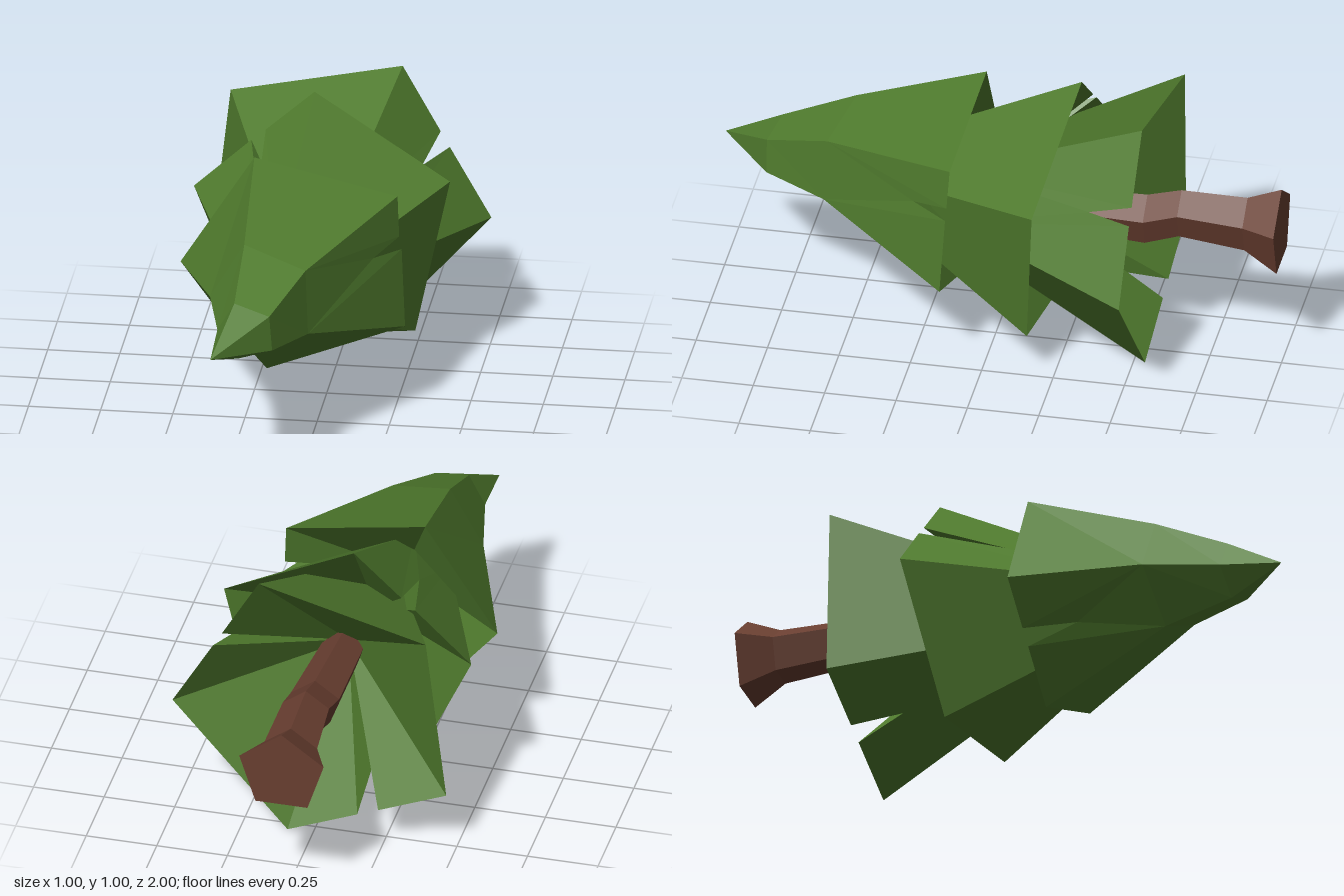
import * as THREE from 'three';

const green = new THREE.MeshStandardMaterial({ color: 0x4f7a2d, flatShading: true, side: THREE.DoubleSide });
green.name = 'needleGreen';
const brown = new THREE.MeshStandardMaterial({ color: 0x683e30, flatShading: true, side: THREE.DoubleSide });
brown.name = 'barkBrown';

// Closed faceted shell: rings run from the rim (clockwise seen from +z) to the tip.
// "under" is the centre of the underside; notches[i] = [start, peak, end] cuts rim side i.
function shell(name, material, rings, tip, under, notches = {}) {
  const pos = [];
  const tri = (a, b, c) => pos.push(...a, ...b, ...c);
  const n = rings[0].length;
  rings.forEach((ring, r) => {
    const next = rings[r + 1];
    for (let i = 0; i < n; i++) {
      const j = (i + 1) % n;
      const c0 = ring[i], c1 = ring[j];
      if (!next) { tri(tip, c1, c0); continue; }
      const a = next[i], b = next[j];
      const notch = r === 0 && notches[i];
      if (notch) {
        const [s, p, e] = notch;
        tri(a, s, c0); tri(a, p, s); tri(a, b, p);
        tri(b, e, p); tri(b, c1, e);
      } else {
        tri(a, c1, c0); tri(a, b, c1);
      }
      if (r === 0) {
        const rim = [c0, ...(notch || []), c1];
        for (let k = 0; k < rim.length - 1; k++) tri(under, rim[k], rim[k + 1]);
      }
    }
  });
  const geo = new THREE.BufferGeometry();
  geo.setAttribute('position', new THREE.Float32BufferAttribute(pos, 3));
  geo.computeVertexNormals();
  const mesh = new THREE.Mesh(geo, material);
  mesh.name = name;
  return mesh;
}

// Ring of points moved part of the way towards an apex
const shrink = (ring, apex, t) => ring.map(p => p.map((v, k) => v + (apex[k] - v) * t));

export function createModel() {
  const tree = new THREE.Group();
  tree.name = 'fallenPineTree';

  // Lower branches
  const lowRim = [[0.19, 1, -0.55], [0.5, 0.46, -0.53], [0.09, 0, -0.54], [-0.48, 0.25, -0.57], [-0.41, 0.865, -0.58]];
  const lowTip = [-0.03, 0.53, 0.42];
  tree.add(shell('lowerBranches', green, [lowRim, shrink(lowRim, lowTip, 0.7)], lowTip, [-0.02, 0.53, -0.12], {
    0: [[0.323, 0.768, -0.54], [0.28, 0.705, -0.38], [0.355, 0.712, -0.537]],
    2: [[-0.16, 0.11, -0.553], [-0.17, 0.194, -0.39], [-0.235, 0.142, -0.557]],
  }));

  // Middle branches
  const midRim = [[-0.08, 1, -0.285], [0.4, 0.725, -0.205], [0.285, 0.18, -0.165], [-0.27, 0.11, -0.21], [-0.5, 0.62, -0.3]];
  const midTip = [-0.15, 0.53, 0.65];
  tree.add(shell('middleBranches', green, [midRim, shrink(midRim, midTip, 0.7)], midTip, [-0.06, 0.53, 0.1], {
    4: [[-0.3, 0.805, -0.293], [-0.24, 0.735, 0], [-0.25, 0.847, -0.291]],
  }));

  // Top branches, bending towards the tip
  const topRim = [[-0.24, 0.9, 0.08], [0.26, 0.795, 0.11], [0.29, 0.325, 0.14], [-0.19, 0.137, 0.13], [-0.495, 0.5, 0.085]];
  const topMid = [[-0.215, 0.765, 0.53], [0.005, 0.705, 0.59], [0.015, 0.475, 0.6], [-0.19, 0.385, 0.56], [-0.335, 0.56, 0.52]];
  const topEnd = [[-0.215, 0.655, 0.79], [-0.09, 0.625, 0.82], [-0.08, 0.5, 0.82], [-0.2, 0.455, 0.8], [-0.275, 0.55, 0.78]];
  tree.add(shell('topBranches', green, [topRim, topMid, topEnd], [-0.27, 0.53, 1], [-0.1, 0.53, 0.35], {
    1: [[0.267, 0.65, 0.12], [0.195, 0.62, 0.25], [0.276, 0.605, 0.123]],
    3: [[-0.335, 0.305, 0.11], [-0.31, 0.385, 0.28], [-0.38, 0.355, 0.104]],
  }));

  // Five-sided trunk with a flared foot: x, y, z, radius
  const trunkRings = [
    [-0.005, 0.54, -1, 0.157],
    [-0.008, 0.55, -0.88, 0.098],
    [-0.003, 0.568, -0.65, 0.086],
    [-0.005, 0.53, -0.53, 0.09],
    [-0.02, 0.53, -0.15, 0.075],
  ].map(([x, y, z, r]) => Array.from({ length: 5 }, (_, i) => {
    const a = Math.PI / 2 - i * Math.PI * 0.4;
    return [x + r * Math.cos(a), y + r * Math.sin(a), z];
  }));
  tree.add(shell('trunk', brown, trunkRings, [-0.02, 0.53, -0.1], [-0.005, 0.54, -1]));

  return tree;
}
